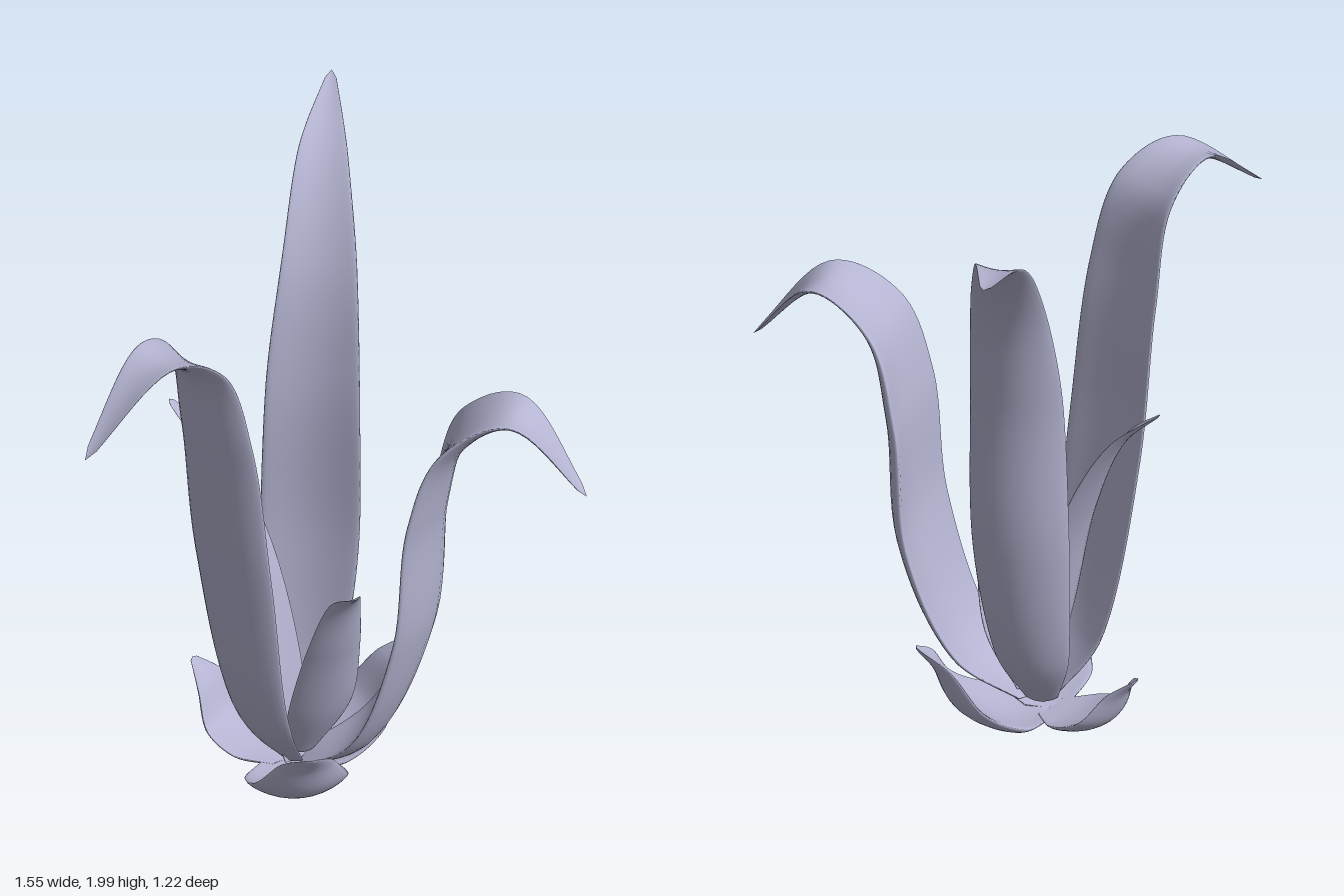
import * as THREE from 'three';

const RINGS = 56, SIDES = 28, CUP = 0.13, THICK = 0.07;

// Width along each kind of leaf, as a share of its widest point
const LONG = [0.3, 0.76, 1, 0.95, 0.76, 0.5, 0.07];
const INNER = [0.4, 1, 0.85, 0.48, 0.1];
const BASE = [0.42, 1, 0.95, 0.54, 0.1];

// Leaf swept along a path, with a crescent cross-section whose convex side
// faces away from the plant's middle.
function leafGeometry(path, profile, width) {
  const spine = new THREE.CatmullRomCurve3(path);
  const widths = new THREE.CatmullRomCurve3(profile.map((s, i) => new THREE.Vector3(i * 0.1, s * width, 0)));
  const out = path[path.length - 1].clone().sub(path[0]).setY(0).normalize();
  const across = new THREE.Vector3(0, 1, 0).cross(out);
  const pos = [], index = [];
  for (let i = 0; i <= RINGS; i++) {
    const t = i / RINGS;
    const c = spine.getPoint(t), T = spine.getTangent(t);
    const S = across.clone().addScaledVector(T, -across.dot(T)).normalize();
    const N = S.clone().cross(T);
    // both ends pinch shut
    const w = i === 0 || i === RINGS ? 0.0005 : Math.max(0.008, widths.getPoint(t).y);
    for (let j = 0; j < SIDES; j++) {
      const a = j / SIDES * Math.PI * 2;
      const u = Math.cos(a);
      const v = CUP * w * (0.5 - u * u) + THICK * w * Math.sin(a);
      const p = c.clone().addScaledVector(S, u * w / 2).addScaledVector(N, v);
      pos.push(p.x, p.y, p.z);
    }
  }
  for (let i = 0; i < RINGS; i++) {
    for (let j = 0; j < SIDES; j++) {
      const a = i * SIDES + j, b = i * SIDES + (j + 1) % SIDES;
      index.push(a, a + SIDES, b, b, a + SIDES, b + SIDES);
    }
  }
  const g = new THREE.BufferGeometry();
  g.setAttribute('position', new THREE.Float32BufferAttribute(pos, 3));
  g.setIndex(index);
  g.computeVertexNormals();
  return g;
}

// Path of a small base leaf: low and flat at first, then rising to its tip
function basePath(x, y, z) {
  const rise = [0.025, 0.045, 0.37 * y, 0.78 * y, y];
  return [0, 0.33, 0.64, 0.83, 1].map((f, i) => new THREE.Vector3(
    THREE.MathUtils.lerp(-0.02, x, f), rise[i], THREE.MathUtils.lerp(0.09, z, f)));
}

export function createModel() {
  const group = new THREE.Group();
  group.name = 'plant';
  const lavender = new THREE.MeshStandardMaterial({ color: 0xb4b4d2 });
  lavender.name = 'paleLavender';

  const v = (x, y, z) => new THREE.Vector3(x, y, z);
  const addLeaf = (name, profile, width, path) => {
    const leaf = new THREE.Mesh(leafGeometry(path, profile, width), lavender);
    leaf.name = name;
    group.add(leaf);
  };

  // three long arching leaves
  addLeaf('tallBackLeaf', LONG, 0.3, [
    v(0, 0.05, 0.09), v(0.05, 0.25, 0.01), v(0.1, 0.7, -0.05), v(0.12, 1.25, -0.08),
    v(0.165, 1.63, -0.165), v(0.23, 1.89, -0.35), v(0.335, 1.995, -0.61)]);
  addLeaf('tallRightLeaf', LONG, 0.33, [
    v(-0.01, 0.05, 0.13), v(-0.13, 0.25, 0.18), v(-0.24, 0.85, 0.235), v(-0.305, 1.37, 0.28),
    v(-0.38, 1.67, 0.32), v(-0.52, 1.75, 0.39), v(-0.775, 1.53, 0.52)]);
  addLeaf('tallLeftLeaf', LONG, 0.38, [
    v(0.02, 0.05, 0.13), v(0.19, 0.2, 0.24), v(0.33, 0.6, 0.3), v(0.365, 1.03, 0.32),
    v(0.43, 1.29, 0.38), v(0.585, 1.395, 0.47), v(0.77, 1.15, 0.6)]);

  // two shorter inner leaves
  addLeaf('innerBackLeaf', INNER, 0.22, [
    v(-0.01, 0.05, 0.14), v(-0.05, 0.35, 0.11), v(-0.11, 0.75, 0.03), v(-0.2, 1.06, -0.09), v(-0.3, 1.2, -0.19)]);
  addLeaf('innerFrontLeaf', INNER, 0.21, [
    v(0.02, 0.07, 0.13), v(0.055, 0.28, 0.22), v(0.065, 0.55, 0.32), v(0.07, 0.78, 0.42), v(0.07, 0.86, 0.52)]);

  // small cupped leaves around the base
  addLeaf('baseFrontLeaf', BASE, 0.3, basePath(-0.06, 0.29, 0.5));
  addLeaf('baseLeftLeaf', BASE, 0.29, basePath(0.4, 0.34, 0.02));
  addLeaf('baseBackLeaf', BASE, 0.24, basePath(-0.23, 0.26, -0.18));
  return group;
}
